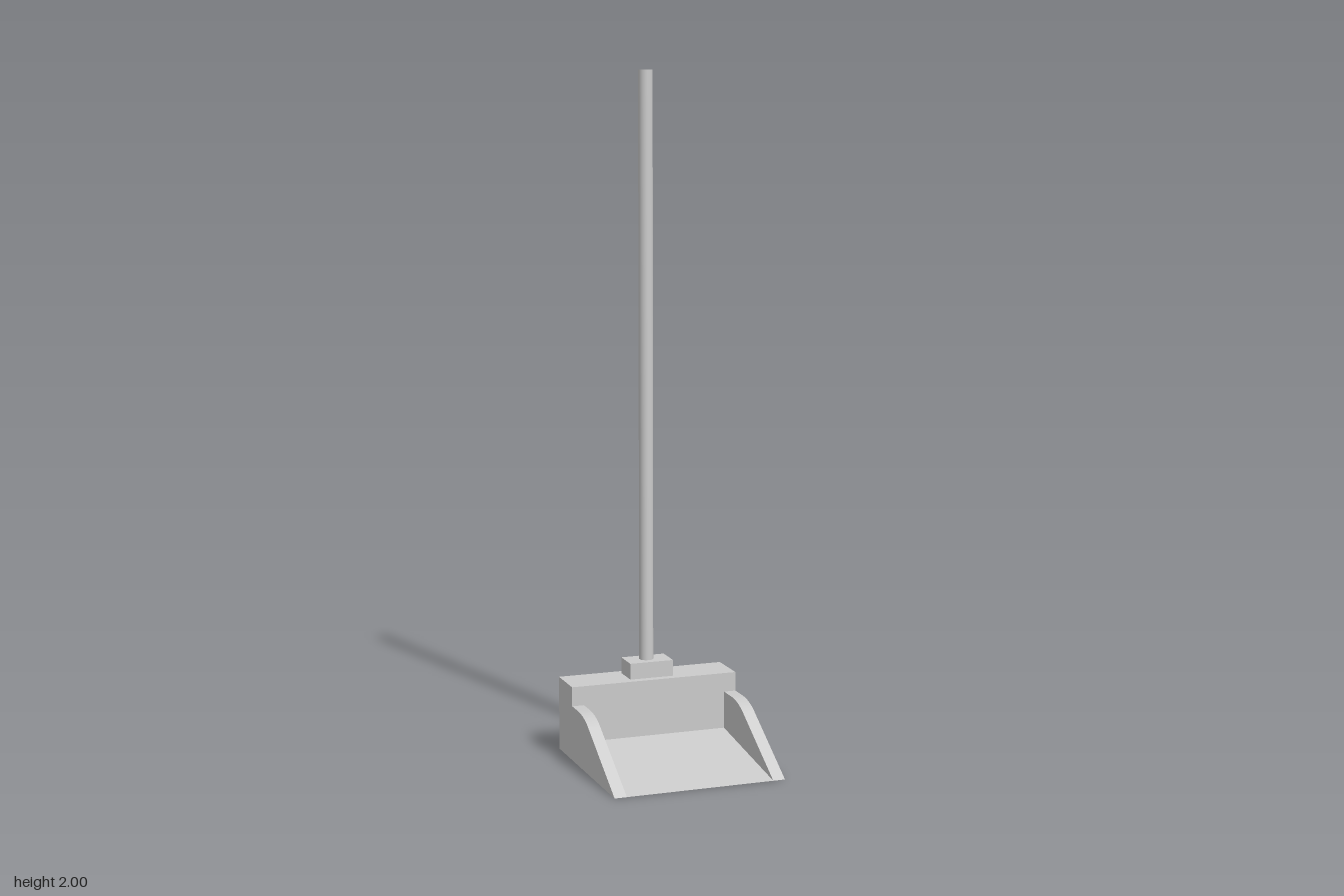
import * as THREE from 'three';
import { toCreasedNormals } from 'three/addons/utils/BufferGeometryUtils.js';

const material = new THREE.MeshStandardMaterial({ color: 0xcccccc });

const HALF = 0.256;   // half width and half depth of the pan
const WALL_Z = -0.128; // front face of the rear block
const SIDE = 0.036;   // side wall thickness

export function createModel() {
  const group = new THREE.Group();
  const add = (name, geometry, x = 0, y = 0, z = 0) => {
    const mesh = new THREE.Mesh(geometry, material);
    mesh.name = name;
    mesh.position.set(x, y, z);
    group.add(mesh);
  };

  // Extrudes a (z, y) profile across x, from xMin to xMin + width
  const extrudeAcross = (shape, xMin, width) => {
    const geometry = new THREE.ExtrudeGeometry(shape, { depth: width, bevelEnabled: false, curveSegments: 16 });
    geometry.rotateY(-Math.PI / 2).translate(xMin + width, 0, 0);
    return toCreasedNormals(geometry, 0.3);
  };

  // Solid block at the rear
  const blockDepth = HALF + WALL_Z;
  add('rearBlock', new THREE.BoxGeometry(HALF * 2, 0.22, blockDepth), 0, 0.11, -HALF + blockDepth / 2);

  // Floor that rises gently towards the rear
  const ramp = new THREE.Shape();
  ramp.moveTo(HALF, 0);
  ramp.lineTo(WALL_Z, 0.052);
  ramp.lineTo(WALL_Z, 0);
  ramp.closePath();
  add('rampFloor', extrudeAcross(ramp, -HALF + SIDE, (HALF - SIDE) * 2));

  // Sloped side walls with a rounded shoulder
  const side = new THREE.Shape();
  side.moveTo(HALF, 0);
  side.lineTo(0.022, 0.139);
  side.quadraticCurveTo(-0.018, 0.163, -0.075, 0.163);
  side.lineTo(WALL_Z, 0.163);
  side.lineTo(WALL_Z, 0);
  side.closePath();
  add('leftSideWall', extrudeAcross(side, HALF - SIDE, SIDE));
  add('rightSideWall', extrudeAcross(side, -HALF, SIDE));

  // Socket and long handle
  add('handleSocket', new THREE.BoxGeometry(0.134, 0.048, 0.083), -0.001, 0.244, -0.193);
  add('handle', new THREE.CylinderGeometry(0.021, 0.021, 1.74, 32), -0.003, 1.13, -0.195);

  return group;
}
